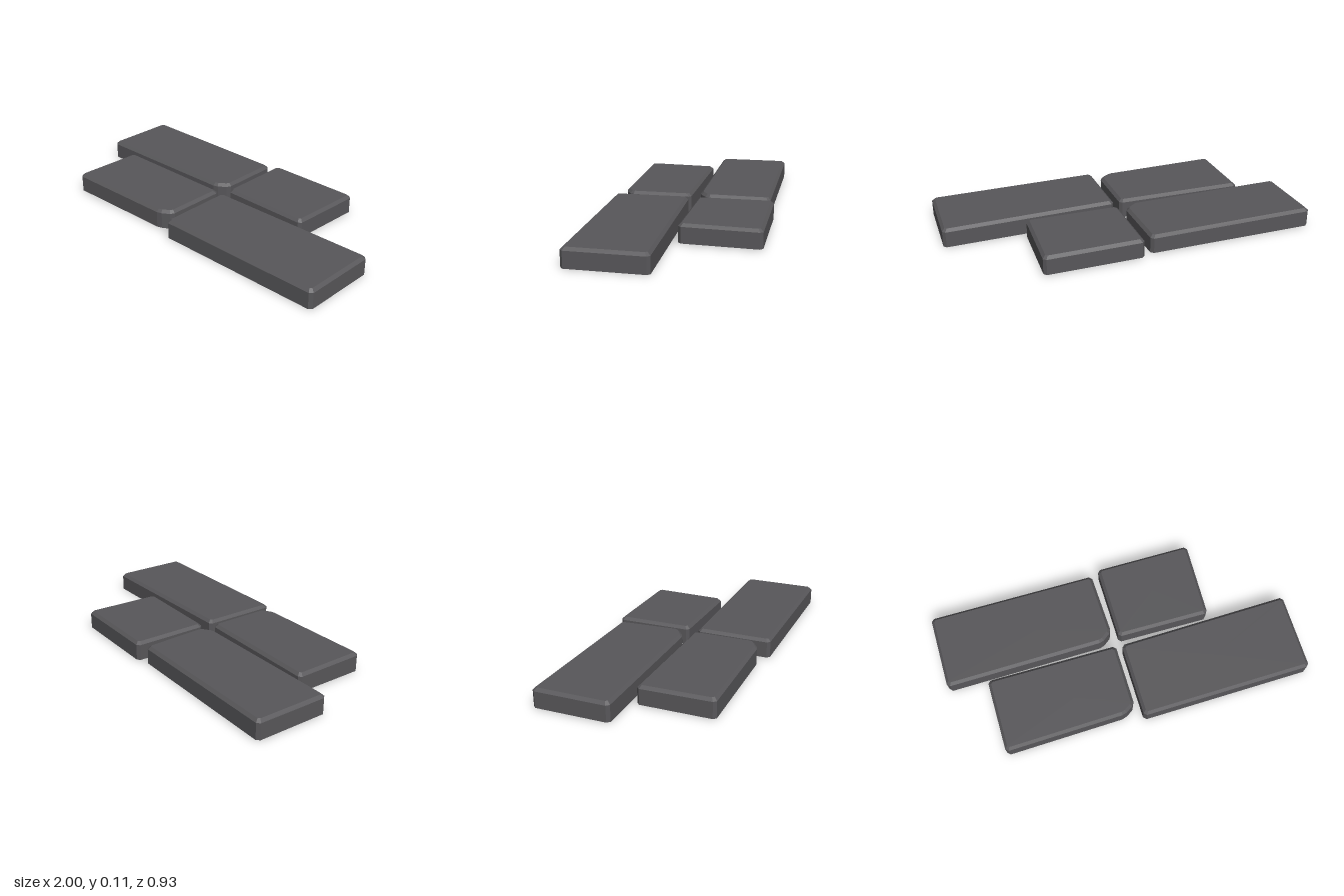
import * as THREE from 'three';

// Cut every corner of a polygon of [x, z, height], keeping each corner's height.
function chamfer(points, cut) {
  const out = [];
  points.forEach((p, i) => {
    for (const q of [points.at(i - 1), points[(i + 1) % points.length]]) {
      const t = cut / Math.hypot(q[0] - p[0], q[1] - p[1]);
      out.push([p[0] + (q[0] - p[0]) * t, p[1] + (q[1] - p[1]) * t, p[2]]);
    }
  });
  return out;
}

// Move every edge of a convex polygon inwards by a fixed distance.
function inset(points, d) {
  return points.map((p, i) => {
    const dirs = [points.at(i - 1), points[(i + 1) % points.length]].map((q) =>
      new THREE.Vector2(q[0] - p[0], q[1] - p[1]).normalize());
    const k = d / Math.abs(dirs[0].cross(dirs[1]));
    return [p[0] + (dirs[0].x + dirs[1].x) * k, p[1] + (dirs[0].y + dirs[1].y) * k, p[2]];
  });
}

// Hollow slab, open below: upright walls, a bevelled rim and a slightly uneven cap.
function slabGeometry(corners, base, top) {
  const outer = chamfer(corners, 0.016);
  const upper = chamfer(inset(corners, 0.016), 0.01);
  const rings = [
    outer.map(([x, z]) => [x, base, z]),
    outer.map(([x, z, dy]) => [x, top - 0.016 + dy, z]),
    upper.map(([x, z, dy]) => [x, top + dy, z]),
  ];
  const n = outer.length;
  const centre = [0, top, 0];
  for (const [x, z] of corners) {
    centre[0] += x / corners.length;
    centre[2] += z / corners.length;
  }
  const pos = [];
  for (let i = 0; i < n; i++) {
    const j = (i + 1) % n;
    for (let r = 0; r < 2; r++) {
      const [a, b] = [rings[r], rings[r + 1]];
      pos.push(...a[i], ...b[i], ...a[j], ...a[j], ...b[i], ...b[j]);
    }
    pos.push(...centre, ...rings[2][j], ...rings[2][i]);
  }
  const geometry = new THREE.BufferGeometry();
  geometry.setAttribute('position', new THREE.Float32BufferAttribute(pos, 3));
  geometry.computeVertexNormals();
  return geometry;
}

export function createModel() {
  const group = new THREE.Group();
  group.name = 'pavingStones';
  const stone = new THREE.MeshStandardMaterial({
    name: 'dark grey stone', color: 0x58575a, flatShading: true, side: THREE.DoubleSide,
  });

  // Corners are [x, z, height offset], in order round each slab.
  const slabs = [
    { name: 'backRightStone', base: 0.005, top: 0.112, corners: [
      [-1, -0.443, 0], [-0.034, -0.438, -0.004], [-0.024, -0.07, 0], [-0.09, -0.021, 0], [-1, -0.018, -0.001]] },
    { name: 'backLeftStone', base: 0.005, top: 0.111, corners: [
      [0.01, -0.464, 0], [0.566, -0.461, -0.001], [0.546, -0.018, 0], [0.01, -0.027, -0.001]] },
    { name: 'frontRightStone', base: 0.003, top: 0.111, corners: [
      [-0.775, 0.014, -0.004], [-0.024, 0.023, 0], [-0.024, 0.382, 0], [-0.09, 0.424, 0], [-0.775, 0.436, 0]] },
    { name: 'frontLeftStone', base: 0, top: 0.108, corners: [
      [0.01, 0.028, 0.002], [1, 0.014, -0.002], [0.994, 0.456, -0.002], [0.01, 0.462, 0]] },
  ];
  for (const { name, base, top, corners } of slabs) {
    const mesh = new THREE.Mesh(slabGeometry(corners, base, top), stone);
    mesh.name = name;
    group.add(mesh);
  }
  return group;
}
